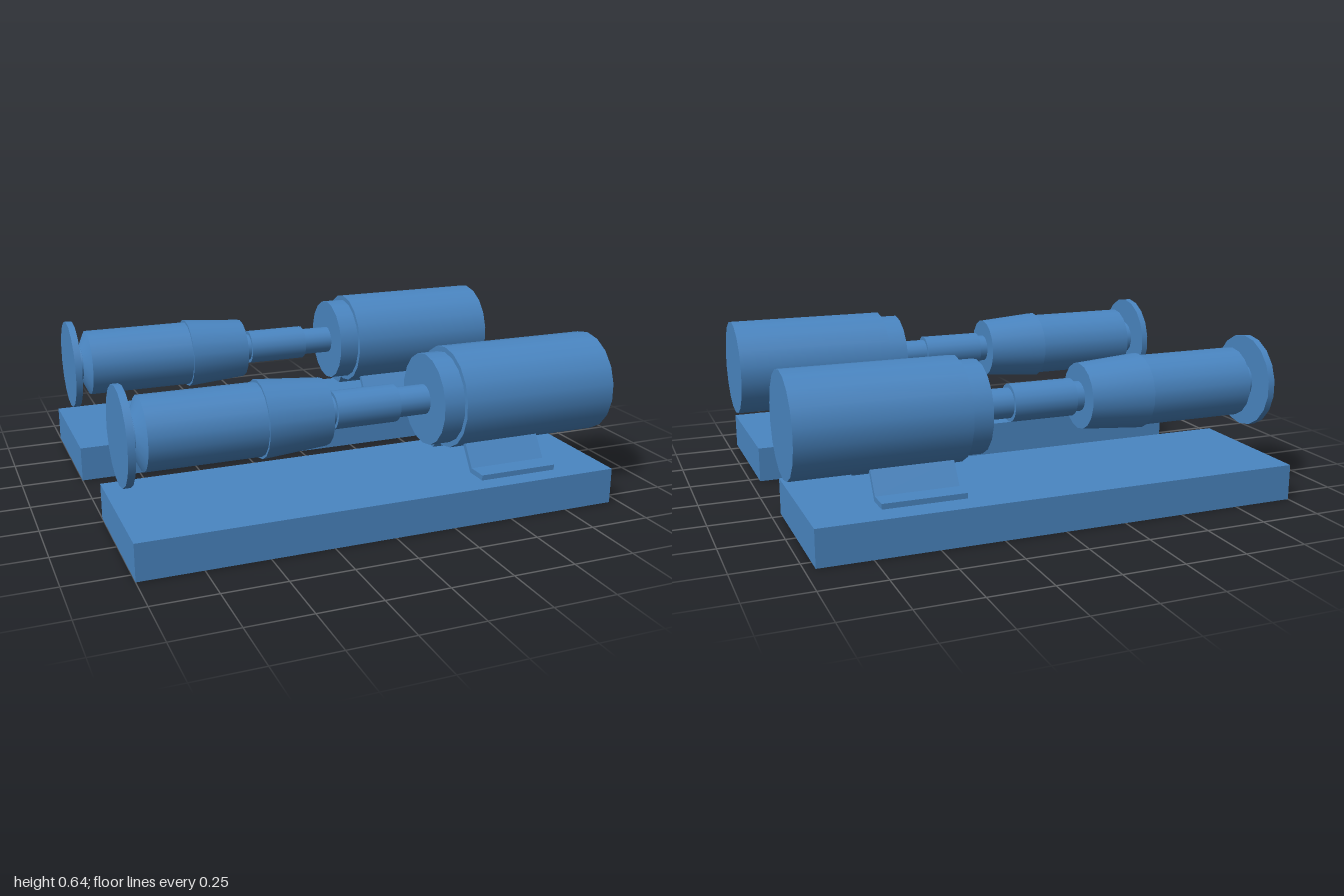
import * as THREE from 'three';

const SIDES = 18;
const AXIS_Y = 0.44;

// Turned sections along the shaft: name, x start, x end, radius at start, radius at end
const SECTIONS = [
  ['inletFlange', -0.983, -0.955, 0.19, 0.19],
  ['inletNeck', -0.955, -0.93, 0.076, 0.076],
  ['pumpShoulder', -0.93, -0.9, 0.078, 0.142],
  ['pumpBody', -0.9, -0.45, 0.142, 0.142],
  ['pumpTaper', -0.45, -0.188, 0.152, 0.132],
  ['pumpShaft', -0.188, -0.15, 0.06, 0.06],
  ['coupling', -0.15, 0.113, 0.075, 0.075],
  ['motorShaft', 0.113, 0.247, 0.06, 0.06],
  ['motorCollar', 0.247, 0.333, 0.184, 0.184],
  ['motorBody', 0.333, 1, 0.205, 0.205],
];

export function createModel() {
  const model = new THREE.Group();
  model.name = 'twinPumpSet';
  const blue = new THREE.MeshStandardMaterial({ color: 0x4a86c2 });
  blue.name = 'steel blue';

  function add(parent, name, geometry, x = 0, y = 0, z = 0) {
    const mesh = new THREE.Mesh(geometry, blue);
    mesh.name = name;
    mesh.position.set(x, y, z);
    parent.add(mesh);
  }

  // Bent mounting foot: flat pad and a sloping web, extruded along x
  function footGeometry(side) {
    const pts = [[0.255, 0.166], [0.255, 0.187], [0.17, 0.187], [0.113, 0.272], [0.095, 0.263], [0.16, 0.166]];
    const shape = new THREE.Shape(pts.map(([z, y]) => new THREE.Vector2(z * side, y)));
    const geo = new THREE.ExtrudeGeometry(shape, { depth: 0.325, bevelEnabled: false });
    return geo.rotateY(Math.PI / 2);
  }

  for (const [label, baseZ, shaftZ] of [['front', 0.514, 0.523], ['back', -0.516, -0.511]]) {
    const unit = new THREE.Group();
    unit.name = label + 'Pump';
    model.add(unit);

    // Base slab
    add(unit, 'baseSlab', new THREE.BoxGeometry(1.96, 0.146, 0.596), -0.02, 0.073, baseZ);

    // Pump, coupling and motor
    for (const [name, x0, x1, r0, r1] of SECTIONS) {
      const geo = new THREE.CylinderGeometry(r1, r0, x1 - x0, SIDES, 1, false, Math.PI / 2);
      geo.rotateZ(-Math.PI / 2);
      add(unit, name, geo, (x0 + x1) / 2, AXIS_Y, shaftZ);
    }

    // Motor feet
    for (const side of [-1, 1]) {
      add(unit, side < 0 ? 'frontFoot' : 'backFoot', footGeometry(side), 0.38, 0, shaftZ);
    }
  }
  return model;
}
